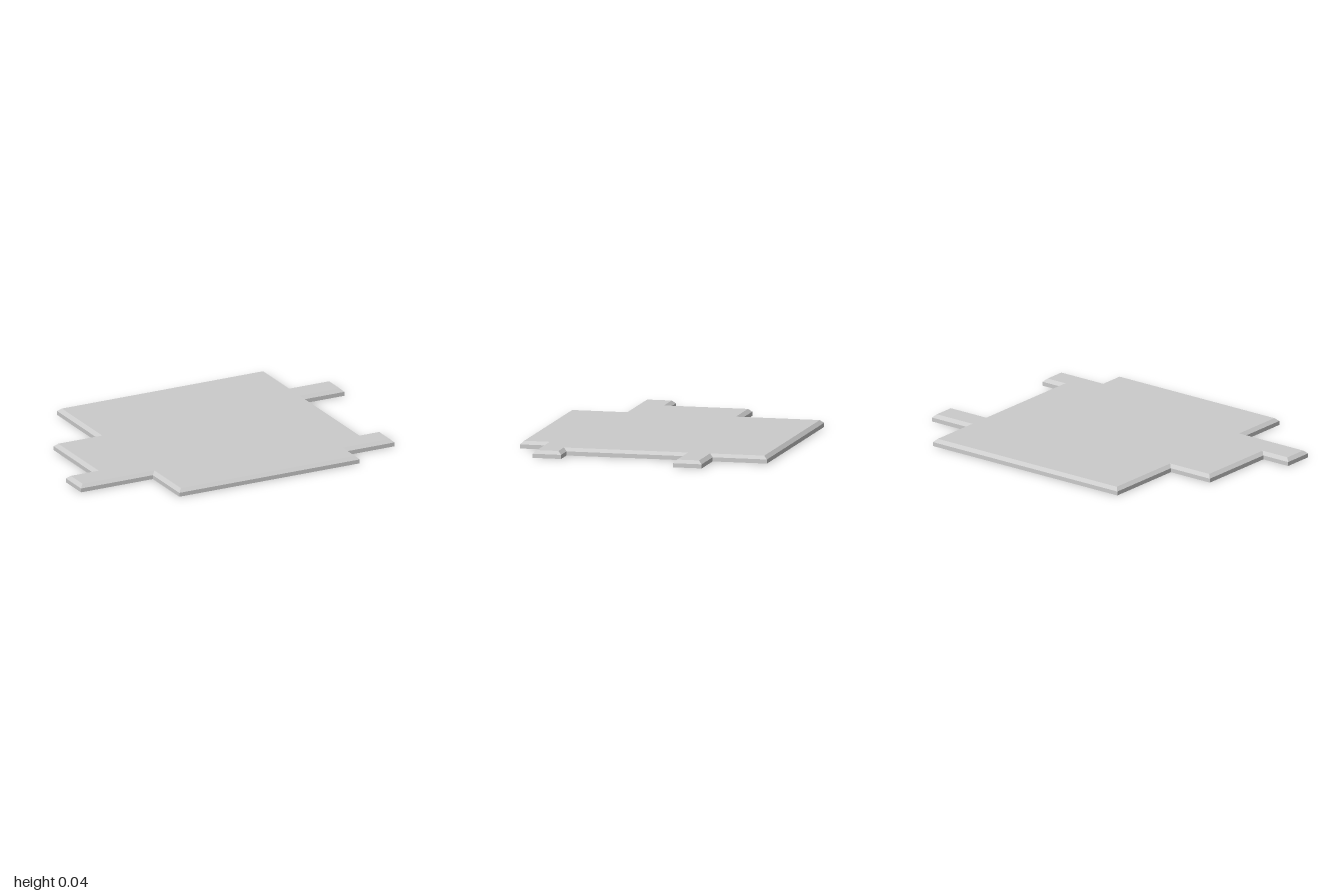
import * as THREE from 'three';

// Plan outline (x, z), clockwise seen from above
const OUTLINE = [
  [-0.55, -0.73], [0.75, -0.73], [0.75, -0.42], [1, -0.42], [1, -0.255], [0.75, -0.255],
  [0.75, 0.415], [0.875, 0.415], [0.875, 0.578], [0.58, 0.578], [0.58, 0.725], [-0.55, 0.725],
  [-0.55, 0.41], [-1, 0.41], [-1, 0.23], [-0.825, 0.23], [-0.825, -0.25], [-0.55, -0.25],
].map(([x, z]) => new THREE.Vector2(x, z));

// Mitred inset of a right-angled outline
function inset(points, distance) {
  const n = points.length;
  const normal = (a, b) => {
    const d = b.clone().sub(a).normalize();
    return new THREE.Vector2(-d.y, d.x);
  };
  return points.map((p, i) => p.clone()
    .addScaledVector(normal(points[(i + n - 1) % n], p), distance)
    .addScaledVector(normal(p, points[(i + 1) % n]), distance));
}

// Flat slab with a chamfered upper edge
function chamferedSlab(outline, wallHeight, height, chamfer) {
  const top = inset(outline, chamfer);
  const positions = [];
  const put = (p, y) => positions.push(p.x, y, p.y);

  // Vertical wall, then sloped chamfer
  const bands = [[outline, 0, outline, wallHeight], [outline, wallHeight, top, height]];
  for (const [low, y0, high, y1] of bands) {
    low.forEach((a, i) => {
      const j = (i + 1) % low.length;
      put(a, y0); put(high[i], y1); put(high[j], y1);
      put(a, y0); put(high[j], y1); put(low[j], y0);
    });
  }

  // Top and bottom faces
  const cap = (points, y, up) => {
    for (const [i, j, k] of THREE.ShapeUtils.triangulateShape(points, [])) {
      const [a, b, c] = [points[i], points[j], points[k]];
      const facesUp = b.clone().sub(a).cross(c.clone().sub(a)) < 0;
      for (const p of facesUp === up ? [a, b, c] : [a, c, b]) put(p, y);
    }
  };
  cap(top, height, true);
  cap(outline, 0, false);

  const geometry = new THREE.BufferGeometry();
  geometry.setAttribute('position', new THREE.Float32BufferAttribute(positions, 3));
  geometry.computeVertexNormals();
  return geometry;
}

export function createModel() {
  const group = new THREE.Group();
  const material = new THREE.MeshStandardMaterial({ color: 0xcccccc, flatShading: true });
  const slab = new THREE.Mesh(chamferedSlab(OUTLINE, 0.023, 0.041, 0.02), material);
  slab.name = 'floorSlab';
  group.add(slab);
  return group;
}
